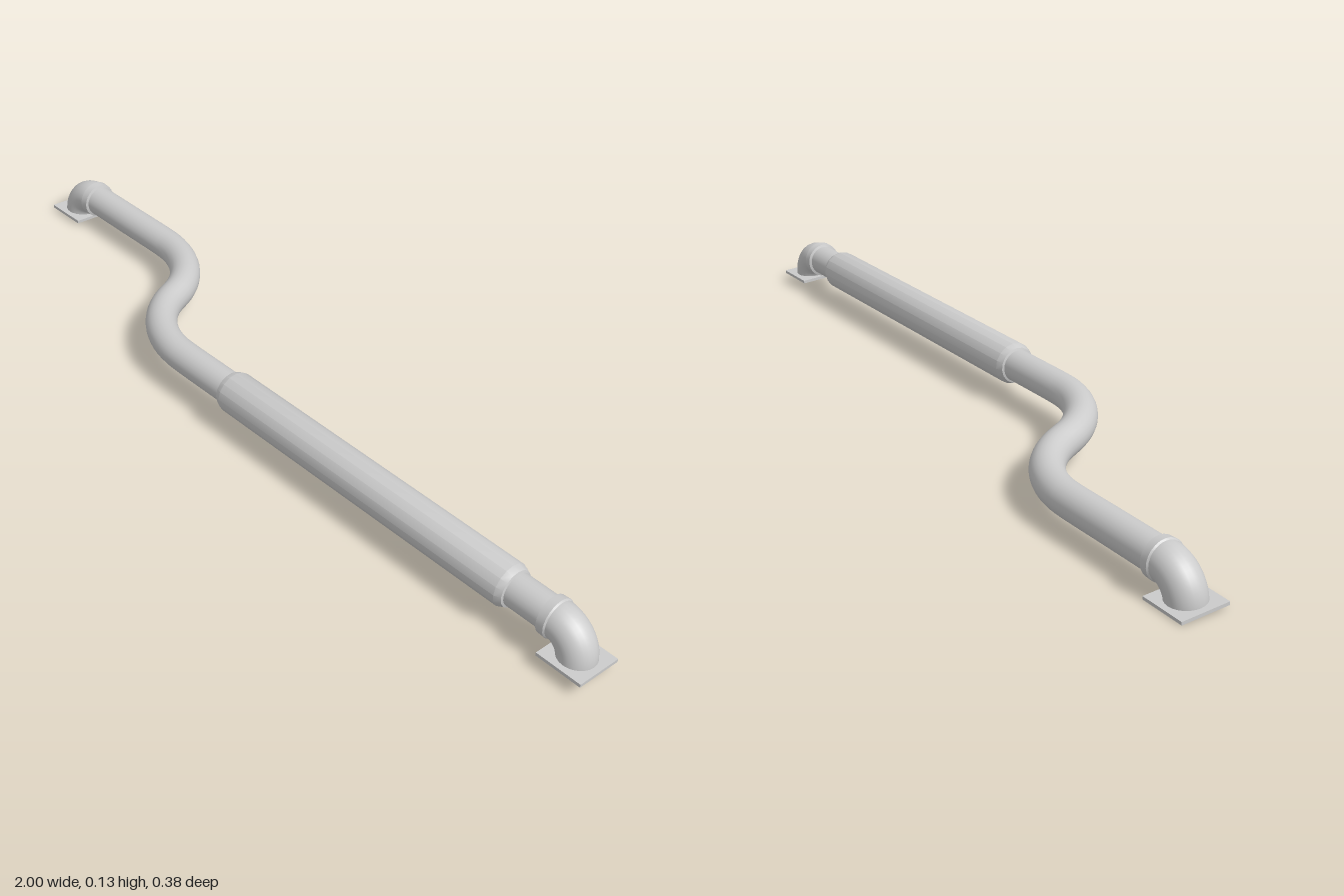
import * as THREE from 'three';
import { toCreasedNormals } from 'three/addons/utils/BufferGeometryUtils.js';

const material = new THREE.MeshStandardMaterial({ color: 0xcccccc, side: THREE.DoubleSide });
const OFFSET = 0.139;   // sideways distance of each straight run from the middle
const PIPE_R = 0.036;
const BEND_R = 0.055;   // elbow centreline radius
const ELBOW_X = 0.892;  // where the elbow begins

function add(parent, name, geometry, x = 0, y = 0, z = 0) {
  const mesh = new THREE.Mesh(geometry, material);
  mesh.name = name;
  mesh.position.set(x, y, z);
  parent.add(mesh);
  return mesh;
}

// Turned part lying along x, from [x, radius] pairs
function turned(profile, sides) {
  const points = profile.map(([x, r]) => new THREE.Vector2(r, x));
  const geometry = new THREE.LatheGeometry(points, sides).rotateZ(-Math.PI / 2);
  return toCreasedNormals(geometry, 0.5);
}

// Long pipe with an S bend made of two equal arcs
function pipeGeometry() {
  const x0 = -0.61, x1 = -0.19;
  const phi = 2 * Math.atan(2 * OFFSET / (x1 - x0));
  const R = (x1 - x0) / 2 / Math.sin(phi);
  const q = Math.PI / 2;
  const arc1 = new THREE.EllipseCurve(x0, -OFFSET + R, R, R, -q, -q + phi, false);
  const arc2 = new THREE.EllipseCurve(x1, OFFSET - R, R, R, q + phi, q, true);
  const flat = [
    new THREE.Vector2(-ELBOW_X, -OFFSET), new THREE.Vector2(-0.75, -OFFSET),
    ...arc1.getPoints(10), ...arc2.getPoints(10).slice(1),
    new THREE.Vector2(0, OFFSET), new THREE.Vector2(ELBOW_X, OFFSET),
  ];
  const path = new THREE.CatmullRomCurve3(flat.map(p => new THREE.Vector3(p.x, 0, p.y)));
  return new THREE.TubeGeometry(path, 110, PIPE_R, 24);
}

// Square plate with a round opening, lying flat
function flangeGeometry() {
  const h = 0.053, thickness = 0.007;
  const shape = new THREE.Shape([[-h, -h], [h, -h], [h, h], [-h, h]].map(p => new THREE.Vector2(...p)));
  shape.holes.push(new THREE.Path().absarc(0, 0, 0.037, 0, Math.PI * 2, true));
  const geometry = new THREE.ExtrudeGeometry(shape, { depth: thickness, bevelEnabled: false, curveSegments: 24 });
  return geometry.rotateX(-Math.PI / 2);
}

// Collar, downward elbow and flange
function pipeEnd(name) {
  const end = new THREE.Group();
  end.name = name;
  add(end, 'collar', turned([
    [0.872, PIPE_R], [0.874, 0.042], [0.892, 0.043], [0.895, 0.04],
  ], 24));
  add(end, 'elbow', new THREE.TorusGeometry(BEND_R, 0.04, 24, 14, Math.PI / 2), ELBOW_X, -BEND_R, 0);
  add(end, 'flange', flangeGeometry(), ELBOW_X + BEND_R, -0.058, 0);
  return end;
}

export function createModel() {
  const model = new THREE.Group();
  model.name = 'exhaustPipe';

  // The whole run lies in a slightly tilted plane
  const run = new THREE.Group();
  run.name = 'tiltedRun';
  run.position.set(0, 0.072, -0.004);
  run.rotation.x = -0.075;
  model.add(run);

  add(run, 'pipe', pipeGeometry());

  // Muffler sleeve with short shoulders
  add(run, 'muffler', turned([
    [-0.032, PIPE_R - 0.001], [-0.03, 0.041], [-0.015, 0.047],
    [0.775, 0.047], [0.789, 0.041], [0.791, PIPE_R - 0.001],
  ], 16), 0, 0, OFFSET);

  const left = pipeEnd('leftEnd');
  left.position.z = OFFSET;
  const right = pipeEnd('rightEnd');
  right.position.z = -OFFSET;
  right.rotation.y = Math.PI;
  run.add(left, right);

  return model;
}
